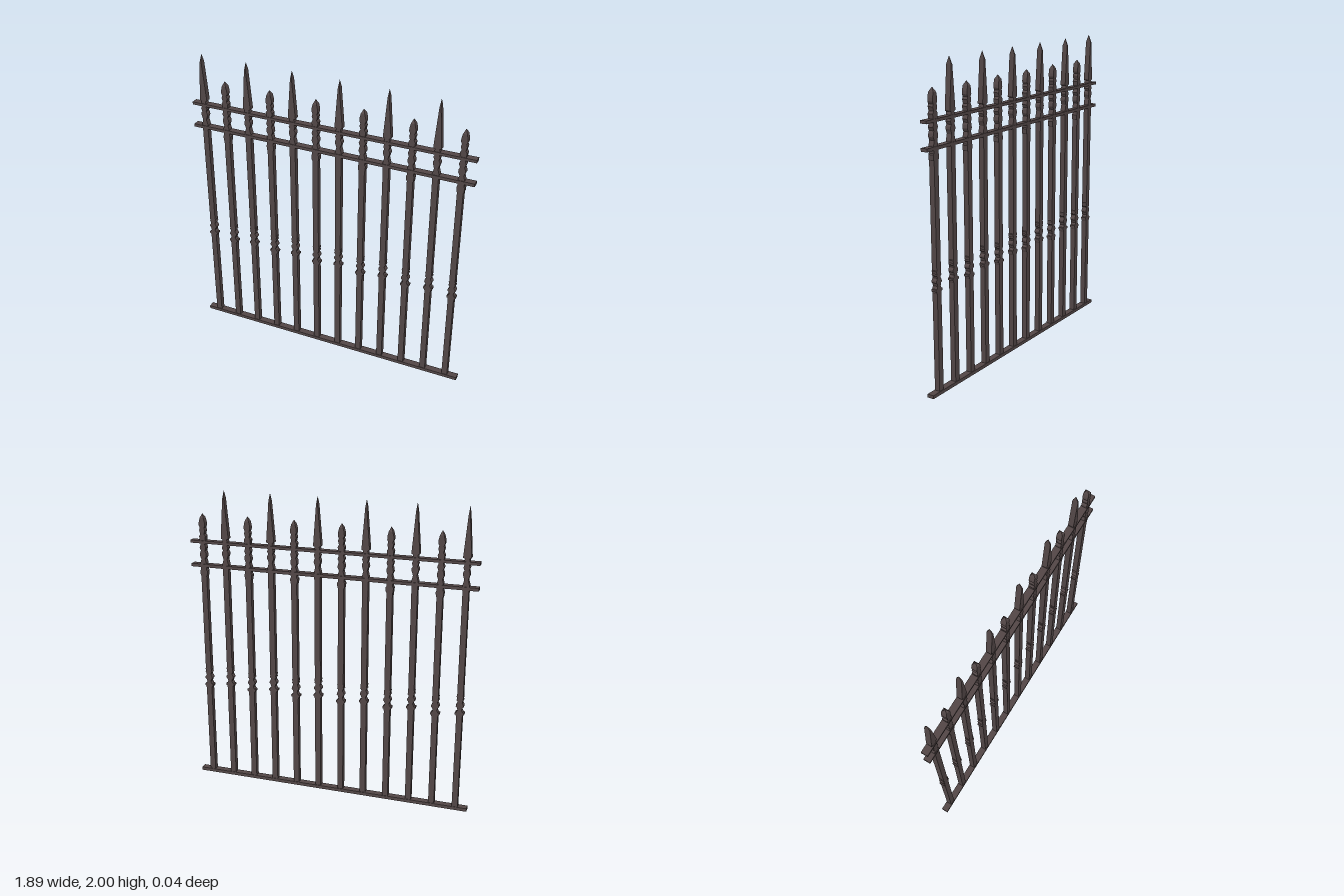
import * as THREE from 'three';

// Square-section bar lofted through rows of [height, half width, half depth]
function loftBar(rows) {
  const pos = [];
  const ring = ([y, w, d = 0.018]) => [[-w, y, d], [w, y, d], [w, y, -d], [-w, y, -d]];
  const quad = (a, b, c, d) => pos.push(...a, ...b, ...c, ...a, ...c, ...d);
  for (let i = 0; i < rows.length - 1; i++) {
    const lo = ring(rows[i]), hi = ring(rows[i + 1]);
    for (let k = 0; k < 4; k++) {
      const n = (k + 1) % 4;
      quad(lo[k], lo[n], hi[n], hi[k]);
    }
  }
  const base = ring(rows[0]);
  quad(base[3], base[2], base[1], base[0]);
  const geo = new THREE.BufferGeometry();
  geo.setAttribute('position', new THREE.Float32BufferAttribute(pos, 3));
  geo.computeVertexNormals();
  return geo;
}

// Turned collar halfway up a picket; y is the height of its flange
const collar = (y) => [
  [y - 0.022, 0.019], [y - 0.016, 0.021], [y - 0.008, 0.022], [y - 0.006, 0.029],
  [y + 0.007, 0.029], [y + 0.009, 0.021], [y + 0.025, 0.013], [y + 0.042, 0.018],
  [y + 0.048, 0.025], [y + 0.06, 0.024], [y + 0.075, 0.015], [y + 0.085, 0.016],
  [y + 0.092, 0.023], [y + 0.1, 0.019], [y + 0.118, 0.022], [y + 0.122, 0.019],
];

export function createModel() {
  const group = new THREE.Group();
  const iron = new THREE.MeshStandardMaterial({ color: 0x544848, flatShading: true });
  iron.name = 'dark iron';

  const spearPicket = loftBar([
    [0.01, 0.019], ...collar(0.682),
    [1.48, 0.019], [1.52, 0.021], [1.555, 0.012], [1.575, 0.018], [1.585, 0.022],
    [1.6, 0.021], [1.612, 0.014], [1.63, 0.021], [1.645, 0.015], [1.665, 0.018],
    [1.685, 0.014], [1.69, 0.026], [1.95, 0.005], [2.0, 0, 0],
  ]);
  const budPicket = loftBar([
    [0.01, 0.019], ...collar(0.66),
    [1.43, 0.019], [1.436, 0.023], [1.465, 0.025], [1.472, 0.02], [1.52, 0.02],
    [1.545, 0.013], [1.565, 0.022], [1.585, 0.02], [1.6, 0.014], [1.62, 0.022],
    [1.64, 0.015], [1.675, 0.019], [1.695, 0.022], [1.71, 0.013], [1.735, 0.02],
    [1.75, 0.014], [1.765, 0.021], [1.785, 0.02], [1.815, 0.013, 0.018], [1.843, 0, 0],
  ]);

  // Alternating tall spears and short buds
  for (let i = 0; i < 12; i++) {
    const tall = i % 2 === 0;
    const picket = new THREE.Mesh(tall ? spearPicket : budPicket, iron);
    picket.name = (tall ? 'spearPicket' : 'budPicket') + (i + 1);
    picket.position.x = -0.866 + i * 0.157;
    group.add(picket);
  }

  // Horizontal rails
  for (const [name, y, h] of [['bottomRail', 0.011, 0.022], ['middleRail', 1.501, 0.02], ['topRail', 1.658, 0.018]]) {
    const rail = new THREE.Mesh(new THREE.BoxGeometry(1.89, h, 0.044), iron);
    rail.name = name;
    rail.position.y = y;
    group.add(rail);
  }
  return group;
}
